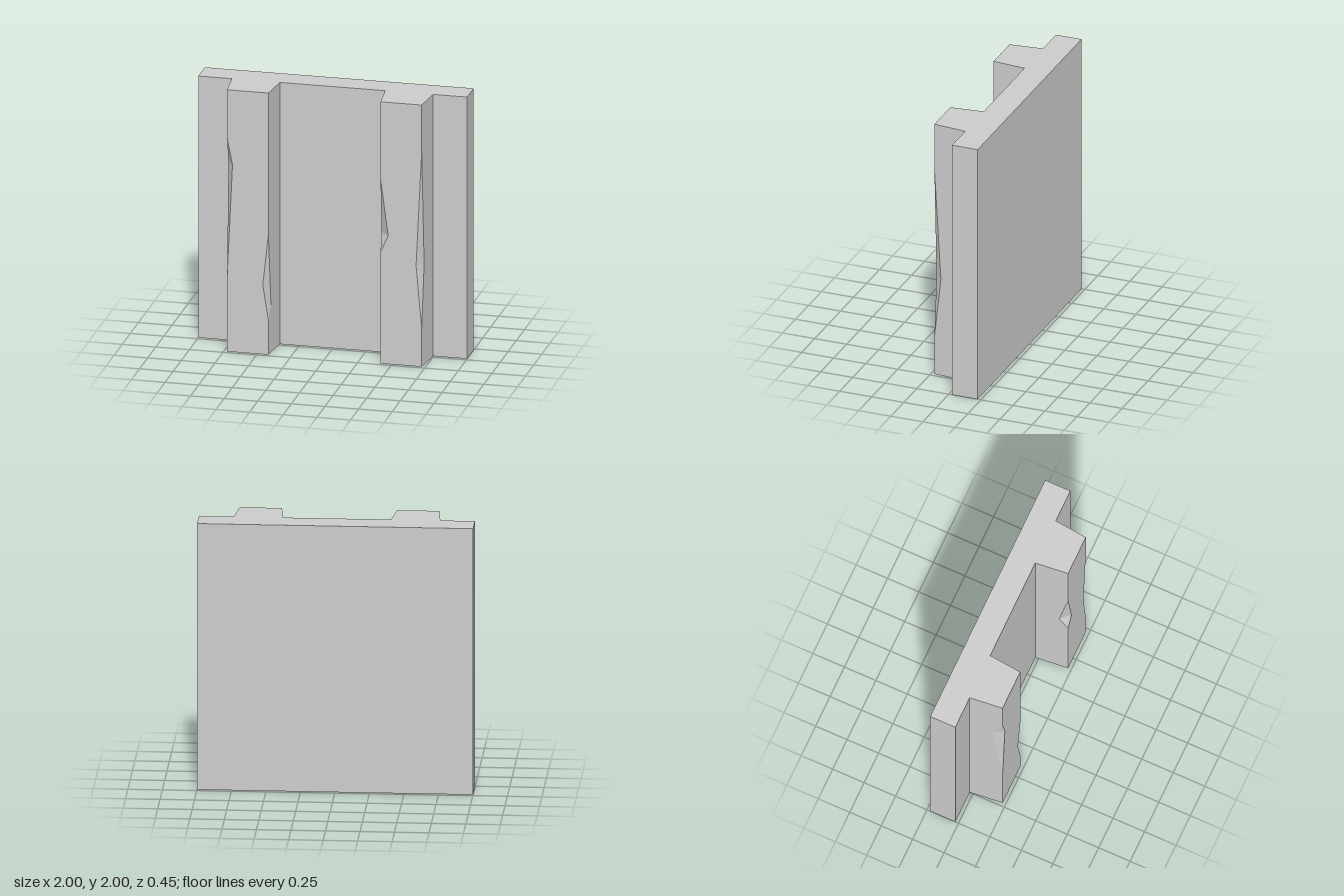
import * as THREE from 'three';

const BACK = -0.025, FRONT = 0.225, HEIGHT = 2;

// Fills a planar polygon of Vector3 corners so that it faces the outward direction.
// flatten maps a corner to the 2D plane used for triangulation.
function fill(out, corners, outward, flatten) {
  const tris = THREE.ShapeUtils.triangulateShape(corners.map(flatten), []);
  for (const [i, j, k] of tris) {
    const [a, b, c] = [corners[i], corners[j], corners[k]];
    const normal = b.clone().sub(a).cross(c.clone().sub(a));
    const order = normal.dot(outward) < 0 ? [a, c, b] : [a, b, c];
    order.forEach((p) => out.push(p.x, p.y, p.z));
  }
}

// Tapered post whose two front edges each carry one chip.
// A chip has its ends on the edge (low, high), one point cut into the front
// face (frontX, frontY) and one into the side (depth 0..1 towards the back, sideY).
function postGeometry(edges) {
  const out = [];
  const alongFront = (p) => new THREE.Vector2(p.x, p.y);
  const alongSide = (p) => new THREE.Vector2(p.z, p.y);
  const alongEnd = (p) => new THREE.Vector2(p.x, p.z);

  const sides = edges.map(({ back, front, chip }, i) => {
    const at = (t, y) => new THREE.Vector3(
      THREE.MathUtils.lerp(front, back, t), y, THREE.MathUtils.lerp(FRONT, BACK, t));
    const low = at(0, chip.low), high = at(0, chip.high);
    const face = new THREE.Vector3(chip.frontX, chip.frontY, FRONT);
    const side = at(chip.depth, chip.sideY);
    const outward = new THREE.Vector3(i ? 1 : -1, 0, 0);

    // notched side and the two chip facets
    fill(out, [at(1, 0), at(0, 0), low, side, high, at(0, HEIGHT), at(1, HEIGHT)], outward, alongSide);
    const facetOut = new THREE.Vector3(i ? 1 : -1, 0, 1);
    fill(out, [low, face, side], facetOut, alongFront);
    fill(out, [high, face, side], facetOut, alongFront);
    return { at, outline: [at(0, 0), low, face, high, at(0, HEIGHT)] };
  });

  // notched front face
  const [left, right] = sides;
  fill(out, [...right.outline, ...left.outline.slice().reverse()], new THREE.Vector3(0, 0, 1), alongFront);
  // top and bottom
  for (const [y, dir] of [[0, -1], [HEIGHT, 1]]) {
    fill(out, [left.at(1, y), left.at(0, y), right.at(0, y), right.at(1, y)],
      new THREE.Vector3(0, dir, 0), alongEnd);
  }

  const geometry = new THREE.BufferGeometry();
  geometry.setAttribute('position', new THREE.Float32BufferAttribute(out, 3));
  geometry.computeVertexNormals();
  return geometry;
}

export function createModel() {
  const group = new THREE.Group();
  group.name = 'wallPanel';
  const material = new THREE.MeshStandardMaterial({ color: 0xcccccc, flatShading: true });
  const add = (name, geometry) => {
    const mesh = new THREE.Mesh(geometry, material);
    mesh.name = name;
    group.add(mesh);
    return mesh;
  };

  // flat back slab
  add('slab', new THREE.BoxGeometry(2, HEIGHT, 0.2)).position.set(0, HEIGHT / 2, BACK - 0.1);

  // chipped posts, edges listed from -x to +x
  add('rightPost', postGeometry([
    { back: -0.75, front: -0.725,
      chip: { low: 0.57, high: 1.63, frontX: -0.685, frontY: 1.43, depth: 0.28, sideY: 1.42 } },
    { back: -0.393, front: -0.418,
      chip: { low: 0.26, high: 0.92, frontX: -0.46, frontY: 0.53, depth: 0.22, sideY: 0.36 } },
  ]));
  add('leftPost', postGeometry([
    { back: 0.39, front: 0.415,
      chip: { low: 0.85, high: 1.42, frontX: 0.473, frontY: 0.98, depth: 0.28, sideY: 0.98 } },
    { back: 0.747, front: 0.722,
      chip: { low: 0.29, high: 1.65, frontX: 0.68, frontY: 0.77, depth: 0.21, sideY: 0.77 } },
  ]));

  return group;
}
